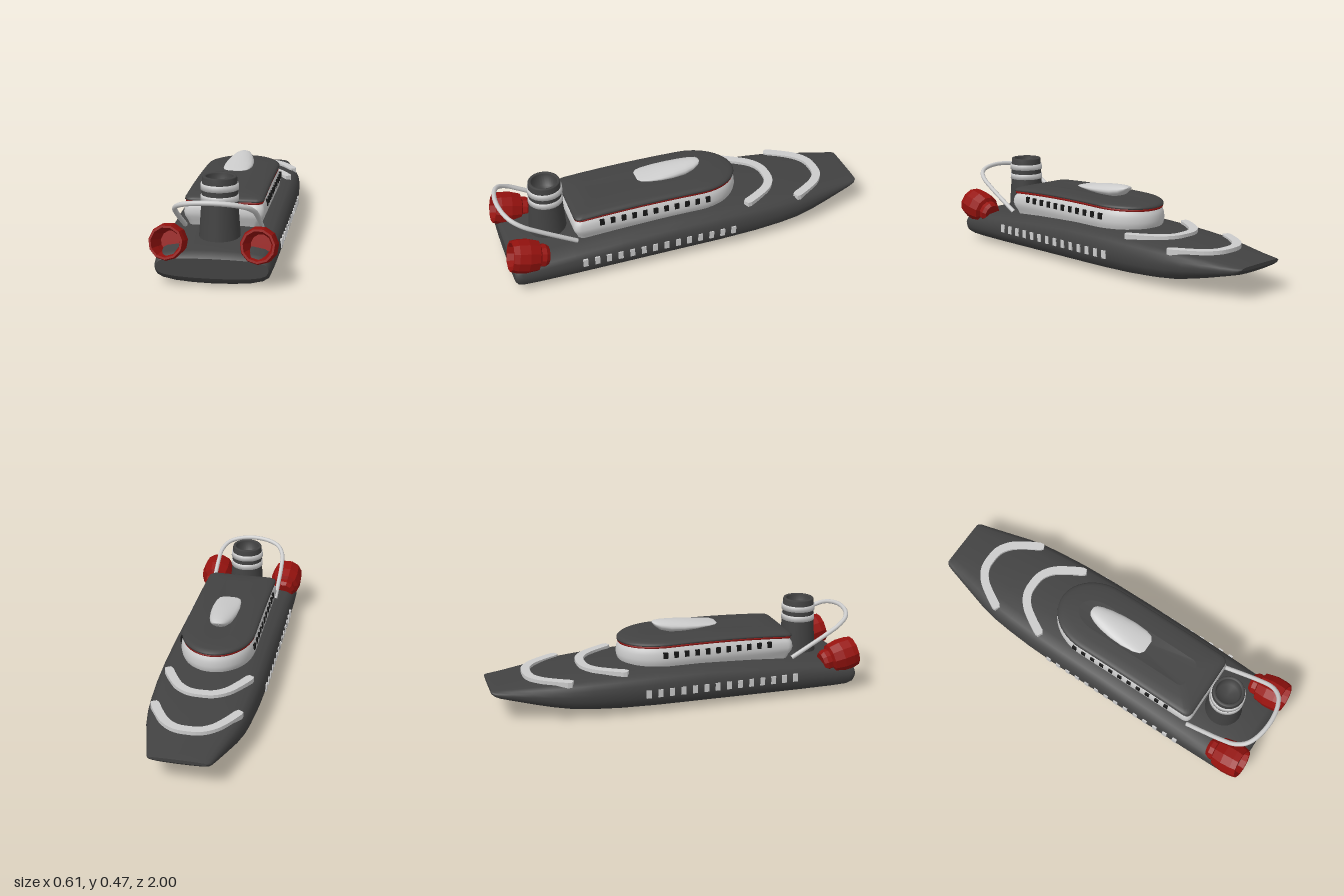
import * as THREE from 'three';

const mat = (color, extra = {}) => new THREE.MeshStandardMaterial({ color, ...extra });
const light = mat(0xcccccc);
const dark = mat(0x424242);
const black = mat(0x161616);
const red = mat(0x96120e, { flatShading: true, side: THREE.DoubleSide });
const trim = mat(0x96120e);

function add(parent, name, geometry, material) {
  const mesh = new THREE.Mesh(geometry, material);
  mesh.name = name;
  parent.add(mesh);
  return mesh;
}

// Skin over closed rings of [x, y, z] points, with flat caps at both ends.
function loft(rings) {
  const n = rings[0].length, pos = rings.flat(2), index = [];
  for (let i = 0; i < rings.length - 1; i++) {
    for (let j = 0; j < n; j++) {
      const a = i * n + j, b = i * n + (j + 1) % n;
      index.push(a, b, b + n, a, b + n, a + n);
    }
  }
  [[rings[0], true], [rings[rings.length - 1], false]].forEach(([ring, start]) => {
    const base = pos.length / 3;
    pos.push(...ring.flat());
    pos.push(...[0, 1, 2].map(k => ring.reduce((s, p) => s + p[k], 0) / n));
    for (let j = 0; j < n; j++) {
      const a = base + j, b = base + (j + 1) % n;
      index.push(base + n, start ? b : a, start ? a : b);
    }
  });
  const g = new THREE.BufferGeometry();
  g.setAttribute('position', new THREE.Float32BufferAttribute(pos, 3));
  g.setIndex(index);
  g.computeVertexNormals();
  return g;
}

// Hull: one cross-section scaled at stations [z, half width, bottom, top].
function hullGeometry() {
  const half = [[0, 0], [0.35, 0.015], [0.65, 0.06], [0.85, 0.14], [0.95, 0.25], [0.99, 0.4], [1, 0.55],
    [0.98, 0.7], [0.93, 0.82], [0.84, 0.91], [0.65, 0.96], [0.35, 0.99], [0, 1]];
  const section = [...half, ...half.slice(1, -1).reverse().map(([x, y]) => [-x, y])];
  const stations = [
    [-1, 0.14, 0.148, 0.166], [-0.985, 0.155, 0.132, 0.169], [-0.96, 0.163, 0.118, 0.172],
    [-0.9, 0.18, 0.101, 0.178], [-0.8, 0.208, 0.074, 0.189], [-0.7, 0.236, 0.05, 0.2],
    [-0.6, 0.256, 0.03, 0.21], [-0.5, 0.267, 0.018, 0.217], [-0.35, 0.278, 0.008, 0.225],
    [-0.15, 0.284, 0.002, 0.231], [0.1, 0.285, 0, 0.23], [0.4, 0.285, 0, 0.213], [0.65, 0.282, 0, 0.192],
    [0.85, 0.278, 0.002, 0.172], [0.93, 0.275, 0.005, 0.164], [0.955, 0.272, 0.016, 0.154],
    [0.968, 0.264, 0.04, 0.135]];
  return loft(stations.map(([z, w, lo, hi]) => section.map(([x, y]) => [x * w, lo + y * (hi - lo), z])));
}

// Cabin ring: square stern, straight sides, elliptical front; the upper edge dips at both ends.
function cabinRing(y, inset, dip) {
  const w = 0.2 - inset, zb = 0.63 - inset, zf = -0.31 + inset, zs = -0.06, r = 0.035, half = [];
  for (const x of [0, 0.07, 0.13]) half.push([x * w / 0.2, zb]);
  for (let i = 0; i <= 4; i++) {
    const a = i * Math.PI / 8;
    half.push([w - r + r * Math.sin(a), zb - r + r * Math.cos(a)]);
  }
  for (let i = 1; i < 6; i++) half.push([w, THREE.MathUtils.lerp(zb - r, zs, i / 6)]);
  for (let i = 0; i <= 12; i++) {
    const a = i * Math.PI / 24;
    half.push([i === 12 ? 0 : w * Math.cos(a), zs + (zf - zs) * Math.sin(a)]);
  }
  const ring = [...half, ...half.slice(1, -1).reverse().map(([x, z]) => [-x, z])];
  const sag = z => (z > 0.1 ? 0.02 * ((z - 0.1) / 0.53) ** 2 : 0.008 * ((z - 0.1) / 0.4) ** 2);
  return ring.map(([x, z]) => [x, y - dip * sag(z), z]);
}
const cabinLoft = rows => loft(rows.map(r => cabinRing(...r)));

// Teardrop pod on the roof, stations [z, half width, bottom, top].
function roofPodGeometry() {
  const stations = [[-0.112, 0.015, 0.405, 0.412], [-0.1, 0.033, 0.388, 0.417], [-0.07, 0.048, 0.366, 0.42],
    [-0.02, 0.062, 0.352, 0.418], [0.05, 0.072, 0.352, 0.412], [0.12, 0.075, 0.36, 0.403],
    [0.19, 0.069, 0.372, 0.393], [0.225, 0.058, 0.378, 0.388], [0.242, 0.035, 0.381, 0.384]];
  return loft(stations.map(([z, w, lo, hi]) => Array.from({ length: 20 }, (_, i) => {
    const a = i * Math.PI / 10;
    return [w * Math.cos(a), (lo + hi) / 2 + (hi - lo) / 2 * Math.sin(a), z];
  })));
}

// Curved chevron slab lying on the foredeck.
function chevronGeometry() {
  const right = [[0.222, 0.225], [0.175, 0.14], [0.125, 0.07], [0.065, 0.03]];
  const pts = [...right.map(([x, z]) => [-x, z]), [0, 0.022], ...right.slice().reverse()];
  const path = new THREE.CatmullRomCurve3(pts.map(([x, z]) => new THREE.Vector3(x, -z, 0)));
  const outer = [], inner = [];
  for (let i = 0; i <= 32; i++) {
    const p = path.getPointAt(i / 32), t = path.getTangentAt(i / 32);
    const w = i % 32 === 0 ? 0.015 : 0.023;
    outer.push(new THREE.Vector2(p.x - t.y * w, p.y + t.x * w));
    inner.unshift(new THREE.Vector2(p.x + t.y * w, p.y - t.x * w));
  }
  const g = new THREE.ExtrudeGeometry(new THREE.Shape([...outer, ...inner]), { depth: 0.05, bevelEnabled: false });
  return g.rotateX(-Math.PI / 2).translate(0, -0.05, 0);
}

const lathe = (pts, sides) => new THREE.LatheGeometry(pts.map(([r, y]) => new THREE.Vector2(r, y)), sides);

export function createModel() {
  const ship = new THREE.Group();
  ship.name = 'ship';
  add(ship, 'hull', hullGeometry(), dark);

  // Cabin with red trim line and crowned roof
  const cabin = new THREE.Group();
  cabin.name = 'cabin';
  ship.add(cabin);
  add(cabin, 'cabinWall', cabinLoft([[0.17, 0.03, 0], [0.215, 0.014, 0], [0.235, 0.004, 0], [0.26, 0, 0.2],
    [0.29, 0.003, 0.5], [0.31, 0.009, 0.9], [0.325, 0.018, 1]]), light);
  add(cabin, 'redTrim', cabinLoft([[0.322, 0.018, 1], [0.325, 0.009, 1], [0.336, 0.01, 1], [0.338, 0.02, 1]]), trim);
  add(cabin, 'roof', cabinLoft([[0.334, 0.014, 1], [0.337, 0.005, 1], [0.345, 0.006, 1], [0.352, 0.014, 1],
    [0.357, 0.03, 1], [0.361, 0.07, 1], [0.363, 0.12, 1]]), dark);
  add(cabin, 'roofPod', roofPodGeometry(), light);

  // Window rows on both sides
  for (const side of [-1, 1]) {
    for (let i = 0; i < 11; i++) {
      add(cabin, 'cabinWindow', new THREE.BoxGeometry(0.02, 0.032, 0.024), black)
        .position.set(side * 0.192, 0.285, 0.485 - i * 0.058);
    }
    for (let i = 0; i < 14; i++) {
      add(ship, 'hullWindow', new THREE.BoxGeometry(0.016, 0.042, 0.026), light)
        .position.set(side * 0.28, 0.115, 0.605 - i * 0.0628);
    }
  }

  // Foredeck chevrons
  for (const [z, y] of [[-0.82, 0.207], [-0.53, 0.232]]) {
    add(ship, 'deckChevron', chevronGeometry(), light).position.set(0, y, z);
  }

  // Funnel with two light bands and a hollow top
  const funnel = new THREE.Group();
  funnel.name = 'funnel';
  funnel.position.z = 0.73;
  ship.add(funnel);
  add(funnel, 'funnelBase', lathe([[0.102, 0.15], [0.087, 0.355]], 32), dark);
  for (const y of [0.355, 0.41]) {
    add(funnel, 'funnelBand', lathe([[0.07, y], [0.092, y], [0.09, y + 0.029], [0.07, y + 0.03]], 32), light);
  }
  add(funnel, 'funnelNeck', lathe([[0.086, 0.38], [0.085, 0.415]], 32), dark);
  add(funnel, 'funnelTop', lathe([[0.085, 0.435], [0.083, 0.468], [0.08, 0.473], [0.069, 0.473], [0.065, 0.468],
    [0.06, 0.4], [0, 0.4]], 32), dark);

  // Sloping arch over the stern, points [x, distance along the slope]
  const slope = [[0.19, 0], [0.192, 0.25], [0.192, 0.55], [0.185, 0.74], [0.155, 0.88], [0.1, 0.96]];
  const archPts = [...slope, [0, 1], ...slope.slice().reverse().map(([x, t]) => [-x, t])]
    .map(([x, t]) => new THREE.Vector3(x, 0.195 + 0.21 * t, 0.62 + 0.367 * t));
  add(ship, 'sternArch', new THREE.TubeGeometry(new THREE.CatmullRomCurve3(archPts), 72, 0.012, 10), light);

  // Faceted open thrusters at the stern corners
  for (const side of [-1, 1]) {
    const thruster = add(ship, 'thruster', lathe([[0, -0.12], [0.05, -0.12], [0.062, -0.1], [0.06, -0.075],
      [0.08, -0.065], [0.09, -0.01], [0.087, 0.045], [0.08, 0.075], [0.07, 0.075], [0.056, 0.01],
      [0.05, -0.06], [0, -0.06]], 11), red);
    thruster.position.set(side * 0.214, 0.19, 0.902);
    thruster.rotation.x = Math.PI / 2 - 0.24;
  }
  return ship;
}
